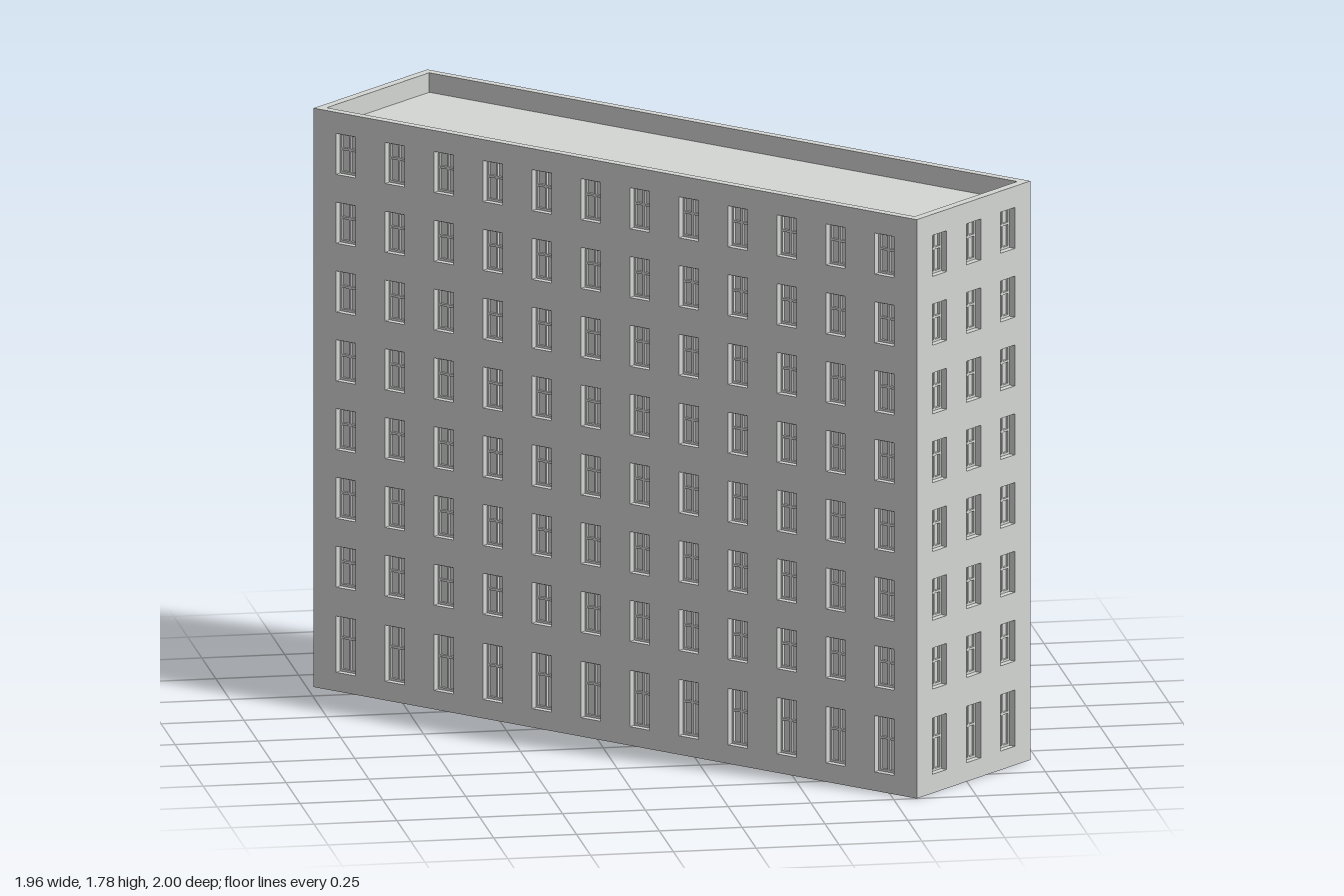
import * as THREE from 'three';
import { mergeGeometries } from 'three/addons/utils/BufferGeometryUtils.js';

const LENGTH = 2.23, WIDTH = 0.57, HEIGHT = 1.78;
const WALL = 0.028;        // wall and parapet thickness, also the window recess
const ROOF = 1.72;         // roof deck level behind the parapet
const WIN_W = 0.072, BAR = 0.007, BAR_D = 0.008;

// Bottom and top of the windows on each of the eight floors
const floors = [[0.058, 0.231]];
for (let i = 0; i < 7; i++) floors.push([0.32 + i * 0.2115, 0.446 + i * 0.2115]);

const concrete = new THREE.MeshStandardMaterial({ color: 0xd4d6d4 });
concrete.name = 'concrete grey';

function bar(w, h, x, y) {
  return new THREE.BoxGeometry(w, h, BAR_D).translate(x, y, BAR_D / 2);
}

// Frame, mullion and transom of one window, standing on the pane
function windowBars(x, y0, y1) {
  const h = y1 - y0, yc = (y0 + y1) / 2, side = (WIN_W - BAR) / 2;
  const inner = WIN_W - 2 * BAR;
  return [
    bar(BAR, h, x - side, yc), bar(BAR, h, x + side, yc),
    bar(inner, BAR, x, y0 + BAR / 2), bar(inner, BAR, x, y1 - BAR / 2),
    bar(BAR, h - 2 * BAR, x, yc), bar(inner, BAR, x, y0 + h * 0.6),
  ];
}

// Wall with a grid of openings; its back lies on z = 0 and it faces +z
function makeFacade(name, width, columns, spacing) {
  const shape = new THREE.Shape();
  shape.moveTo(-width / 2, 0);
  shape.lineTo(width / 2, 0);
  shape.lineTo(width / 2, HEIGHT);
  shape.lineTo(-width / 2, HEIGHT);
  shape.closePath();
  const bars = [];
  for (let c = 0; c < columns; c++) {
    const x = (c - (columns - 1) / 2) * spacing;
    for (const [y0, y1] of floors) {
      const hole = new THREE.Path();
      hole.moveTo(x - WIN_W / 2, y0);
      hole.lineTo(x - WIN_W / 2, y1);
      hole.lineTo(x + WIN_W / 2, y1);
      hole.lineTo(x + WIN_W / 2, y0);
      hole.closePath();
      shape.holes.push(hole);
      bars.push(...windowBars(x, y0, y1));
    }
  }
  const facade = new THREE.Group();
  facade.name = name;
  const wall = new THREE.Mesh(
    new THREE.ExtrudeGeometry(shape, { depth: WALL, bevelEnabled: false }), concrete);
  wall.name = 'wall';
  const frames = new THREE.Mesh(mergeGeometries(bars), concrete);
  frames.name = 'windowFrames';
  facade.add(wall, frames);
  return facade;
}

export function createModel() {
  const model = new THREE.Group();
  model.name = 'apartmentBlock';
  const building = new THREE.Group();
  building.name = 'building';
  building.rotation.y = THREE.MathUtils.degToRad(-46);
  model.add(building);

  // Core: window panes on its sides, roof deck on top
  const coreL = LENGTH - 2 * WALL, coreW = WIDTH - 2 * WALL;
  const core = new THREE.Mesh(new THREE.BoxGeometry(coreL, ROOF, coreW), concrete);
  core.name = 'coreAndRoof';
  core.position.y = ROOF / 2;
  building.add(core);

  // Two long and two short facades, rising past the roof as a parapet
  for (const s of [1, -1]) {
    const long = makeFacade(s > 0 ? 'longFacadeFront' : 'longFacadeBack', LENGTH, 12, 0.181);
    long.position.z = s * coreW / 2;
    long.rotation.y = s > 0 ? 0 : Math.PI;
    const short = makeFacade(s > 0 ? 'endFacadeFront' : 'endFacadeBack', coreW, 3, 0.171);
    short.position.x = s * coreL / 2;
    short.rotation.y = s * Math.PI / 2;
    building.add(long, short);
  }
  return model;
}
